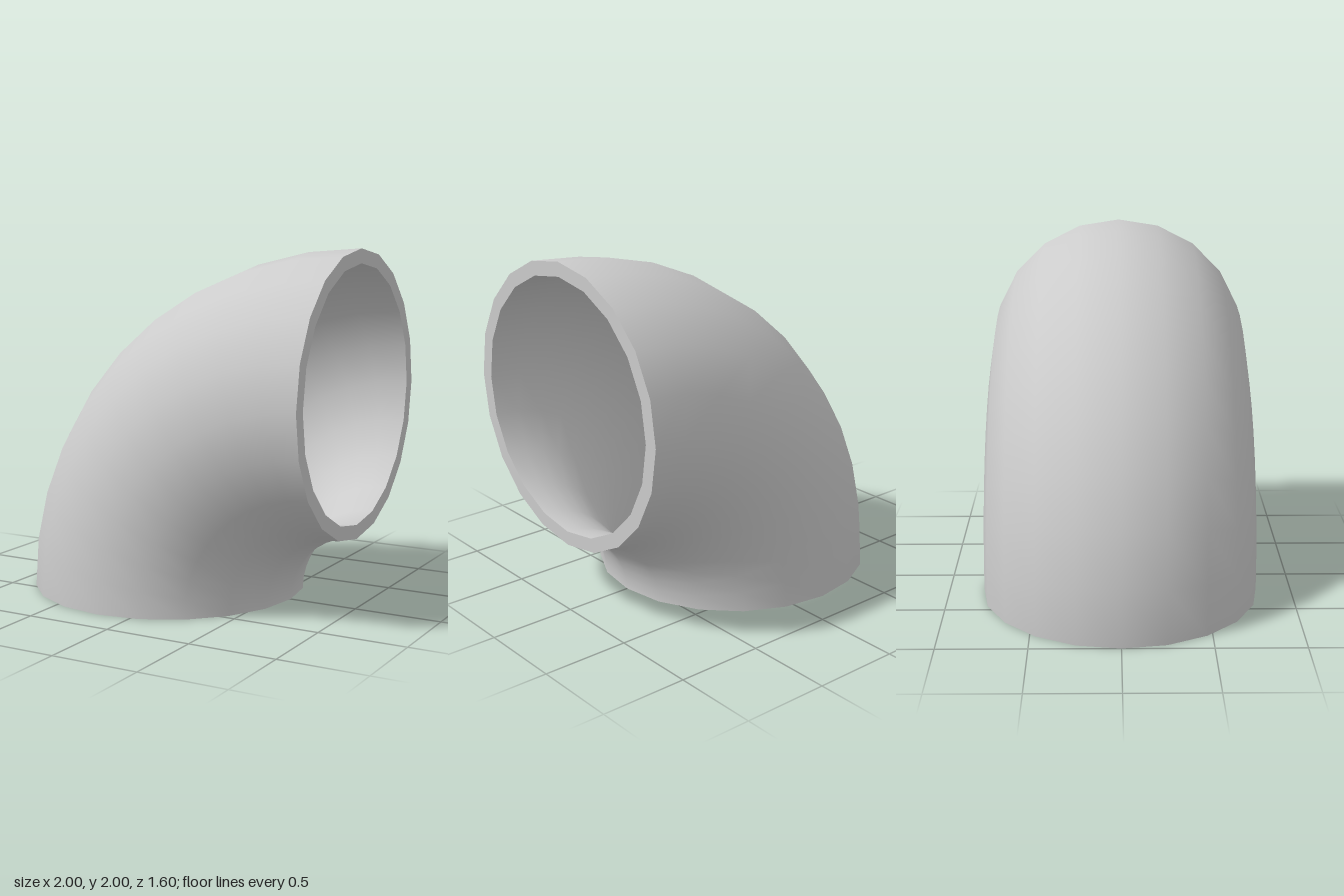
import * as THREE from 'three';

const BEND = 1.2, OUTER = 0.8, INNER = 0.72, SIDES = 20, STEPS = 10;

// Quarter torus running from the bottom opening up to the +x opening
function bend(radius) {
  return new THREE.TorusGeometry(BEND, radius, SIDES, STEPS, Math.PI / 2)
    .rotateZ(Math.PI / 2)
    .translate(1, 0, 0);
}

// Turn a surface inside out so it is seen from within
function invert(geometry) {
  const index = geometry.index;
  for (let i = 0; i < index.count; i += 3) {
    const b = index.getX(i + 1);
    index.setX(i + 1, index.getX(i + 2));
    index.setX(i + 2, b);
  }
  const normal = geometry.attributes.normal;
  for (let i = 0; i < normal.count; i++) {
    normal.setXYZ(i, -normal.getX(i), -normal.getY(i), -normal.getZ(i));
  }
  return geometry;
}

export function createModel() {
  const group = new THREE.Group();
  group.name = 'pipeElbow';
  const material = new THREE.MeshStandardMaterial({ color: 0xcccccc });
  const add = (name, geometry) => {
    const mesh = new THREE.Mesh(geometry, material);
    mesh.name = name;
    group.add(mesh);
  };

  // Pipe walls
  add('outerWall', bend(OUTER));
  add('innerWall', invert(bend(INNER)));

  // Flat rims closing the wall thickness at both openings
  const rim = () => new THREE.RingGeometry(INNER, OUTER, SIDES);
  add('sideRim', rim().rotateY(Math.PI / 2).translate(1, BEND, 0));
  add('bottomRim', rim().rotateX(Math.PI / 2).translate(1 - BEND, 0, 0));

  return group;
}
